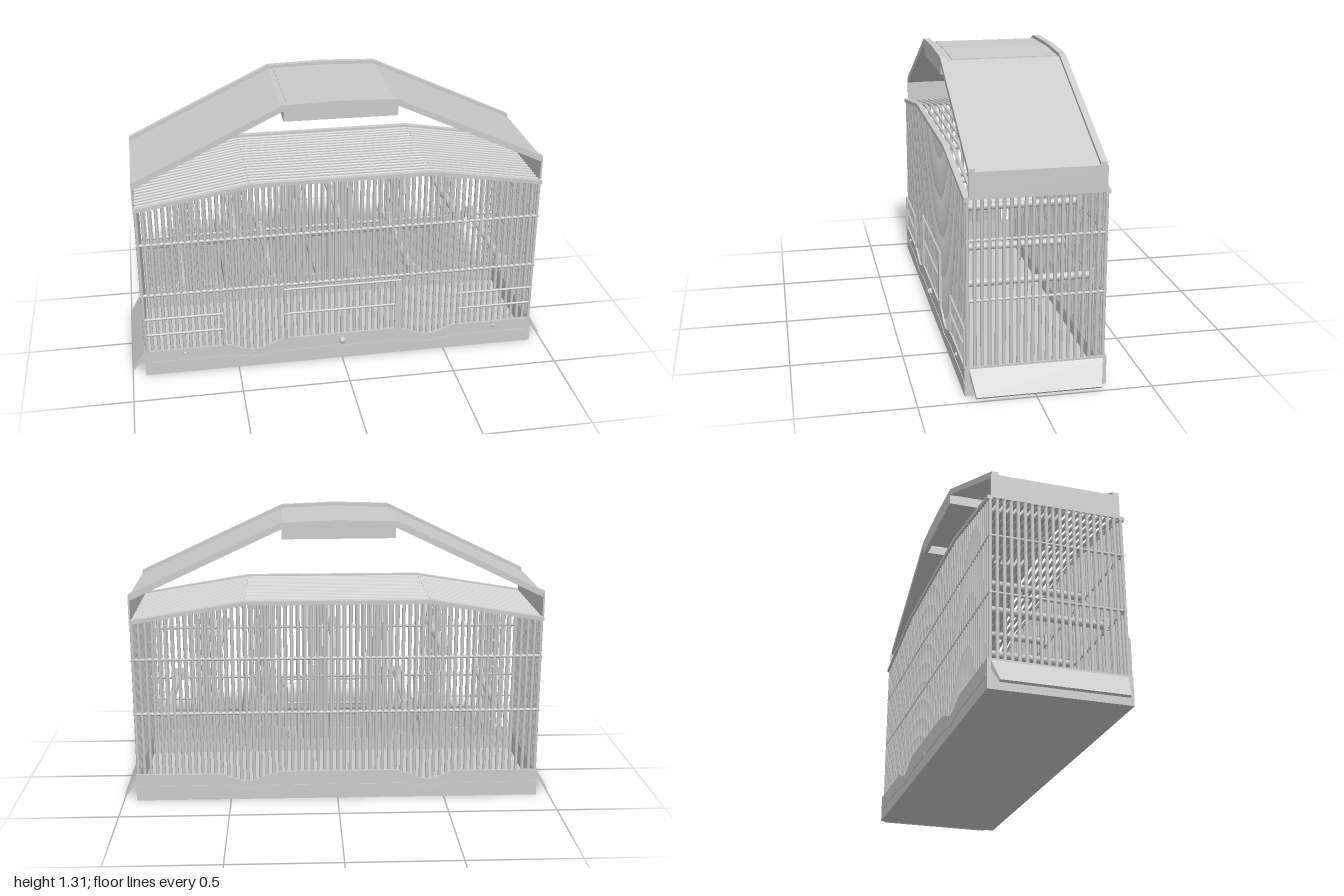
import * as THREE from 'three';
import { mergeGeometries } from 'three/addons/utils/BufferGeometryUtils.js';

const mat = new THREE.MeshStandardMaterial({ color: 0xcccccc, side: THREE.DoubleSide });
const V = (x, y, z) => new THREE.Vector3(x, y, z);

// Box between two corners
function box(x0, x1, y0, y1, z0, z1) {
  return new THREE.BoxGeometry(x1 - x0, y1 - y0, z1 - z0)
    .translate((x0 + x1) / 2, (y0 + y1) / 2, (z0 + z1) / 2);
}

// Round rod between two points
function rod(a, b, r, sides = 8) {
  const d = b.clone().sub(a);
  const g = new THREE.CylinderGeometry(r, r, d.length(), sides);
  g.applyQuaternion(new THREE.Quaternion().setFromUnitVectors(V(0, 1, 0), d.normalize()));
  return g.translate((a.x + b.x) / 2, (a.y + b.y) / 2, (a.z + b.z) / 2);
}

// Closed xy outline extruded from z0 to z1
function plate(pts, z0, z1) {
  const shape = new THREE.Shape(pts.map(([x, y]) => new THREE.Vector2(x, y)));
  return new THREE.ExtrudeGeometry(shape, { depth: z1 - z0, bevelEnabled: false }).translate(0, 0, z0);
}

// Strip of height t hanging below a polyline
function band(pts, t, z0, z1) {
  const lower = pts.map(([x, y]) => [x, y - t]).reverse();
  return plate([...lower, ...pts], z0, z1);
}

export function createModel() {
  const group = new THREE.Group();
  const add = (name, geos) => {
    const list = geos.map(g => (g.index ? g.toNonIndexed() : g));
    const mesh = new THREE.Mesh(mergeGeometries(list), mat);
    mesh.name = name;
    group.add(mesh);
  };

  const X = 0.94, ZF = 0.295, ZB = -0.315;
  const roof = [[-X, 0.865], [-0.42, 0.95], [0.42, 0.95], [X, 0.865]];
  const roofY = x => 0.95 - 0.085 * Math.max(0, (Math.abs(x) - 0.42) / 0.52);

  // Tray: floor, end walls, wavy long walls
  const half = [[0.27, 0.135], [0.34, 0.115], [0.38, 0.095], [0.42, 0.088],
    [0.46, 0.095], [0.54, 0.127], [X, 0.127]];
  const wave = [...half.map(([x, y]) => [-x, y]).reverse(), ...half];
  const wall = [[-X, 0], [X, 0], ...wave.slice().reverse()];
  add('trayFloor', [box(-X, X, 0, 0.012, ZB, ZF)]);
  add('trayLongWalls', [plate(wall, ZF - 0.014, ZF), plate(wall, ZB, ZB + 0.014)]);
  add('trayEndWalls', [-1, 1].map(s => box(s * X - (s > 0 ? 0.014 : 0), s * X + (s > 0 ? 0 : 0.014),
    0, 0.13, ZB, ZF)));

  // Raised trim strips on the tray
  const trims = [];
  for (const s of [-1, 1]) {
    const line = [[0.018, 0.07], [0.3, 0.07], [0.42, 0.051], [0.54, 0.07], [0.93, 0.07]]
      .map(([x, y]) => [s * x, y]);
    if (s < 0) line.reverse();
    trims.push(band(line, 0.017, ZF, ZF + 0.003), band(line, 0.017, ZB - 0.003, ZB));
  }
  add('trayTrim', trims);

  // Tilted flaps at both ends, narrowing downward
  for (const s of [-1, 1]) {
    const g = plate([[0.938, 0.125], [0.938, 0.088], [0.993, 0.01], [1, 0.018]], -0.3, 0.275);
    const p = g.attributes.position;
    for (let i = 0; i < p.count; i++) {
      const k = (p.getX(i) - 0.938) / 0.062;
      p.setZ(i, p.getZ(i) - Math.sign(p.getZ(i)) * 0.02 * k);
    }
    g.rotateY(s > 0 ? 0 : Math.PI);
    if (s < 0) g.translate(0, 0, -0.025);
    g.computeVertexNormals();
    add(s > 0 ? 'leftFlap' : 'rightFlap', [g]);
  }

  // Upright bars on the long sides
  const zF = 0.28, zB = -0.3, r = 0.008, longBars = [], endBars = [], roofBars = [];
  const n = 63;
  for (let i = 0; i < n; i++) {
    const x = -0.93 + 1.86 * i / (n - 1);
    for (const z of [zF, zB]) longBars.push(rod(V(x, 0.085, z), V(x, roofY(x) - 0.01, z), r));
  }
  add('longSideBars', longBars);

  // End bars continuing over the roof as hoops
  const m = 19;
  for (let i = 1; i < m; i++) {
    const z = zB + (zF - zB) * i / m;
    for (const s of [-1, 1]) endBars.push(rod(V(s * 0.93, 0.12, z), V(s * 0.93, 0.858, z), r));
    for (let k = 0; k < 3; k++) {
      const [a, b] = [roof[k], roof[k + 1]];
      roofBars.push(rod(V(a[0], a[1] - 0.01, z), V(b[0], b[1] - 0.01, z), r));
    }
  }
  add('endBars', endBars);
  add('roofBars', roofBars);

  // Roof edge rails and horizontal wires
  add('roofRails', [band(roof, 0.018, ZF - 0.025, ZF), band(roof, 0.018, ZB, ZB + 0.025)]);
  const wires = [];
  for (const y of [0.42, 0.68]) {
    for (const z of [zF, zB]) wires.push(rod(V(-X, y, z), V(X, y, z), 0.008));
    for (const x of [-0.93, 0.93]) wires.push(rod(V(x, y, zB), V(x, y, zF), 0.007));
  }
  add('horizontalWires', wires);

  // Perches with end blocks
  const perches = [], blocks = [];
  for (const [x, y] of [[-0.49, 0.7], [0.01, 0.7], [0.55, 0.7],
    [-0.74, 0.44], [-0.32, 0.44], [0.34, 0.44], [0.78, 0.44]]) {
    perches.push(rod(V(x, y, zB), V(x, y, zF), 0.017, 12));
    for (const z of [zF - 0.008, zB + 0.008])
      blocks.push(box(x - 0.026, x + 0.026, y - 0.03, y + 0.03, z - 0.008, z + 0.008));
  }
  add('perches', perches);
  add('perchBlocks', blocks);

  // Front door and two small feeder doors
  const doors = [];
  const doorWire = (x0, x1, y) => doors.push(rod(V(x0, y, 0.293), V(x1, y, 0.293), 0.006));
  for (const y of [0.4, 0.27]) doorWire(-0.28, 0.28, y);
  doors.push(box(0.255, 0.285, 0.13, 0.4, 0.287, 0.299));
  doors.push(rod(V(-0.27, 0.13, 0.293), V(-0.27, 0.4, 0.293), 0.007));
  for (const s of [-1, 1]) {
    for (const y of [0.3, 0.217]) doorWire(s * 0.565, s * 0.925, y);
    for (const x of [0.565, 0.925])
      doors.push(rod(V(s * x, 0.12, 0.293), V(s * x, 0.3, 0.293), 0.006));
  }
  add('doors', doors);

  // Knobs on the front of the tray
  const knobs = [new THREE.SphereGeometry(0.017, 16, 12).translate(0, 0.1, 0.299)];
  for (const s of [-1, 1])
    knobs.push(new THREE.SphereGeometry(0.009, 12, 8).translate(s * 0.75, 0.105, 0.298));
  add('knobs', knobs);

  // Peaked cover: sheet, raised edge flanges, end skirts
  const cover = [[-X, 0.982], [-0.265, 1.306], [0, 1.313], [0.25, 1.303], [X, 0.982]];
  const sheet = cover.map(([x, y]) => [x, y - 0.016]);
  add('coverSheet', [band(sheet, 0.012, -0.295, 0.275)]);
  add('coverFlanges', [band(cover, 0.03, 0.247, 0.275), band(cover, 0.03, -0.295, -0.267)]);
  add('coverSkirts', [-1, 1].map(s => box(s * 0.937 - 0.004, s * 0.937 + 0.004, 0.855, 0.968, -0.3, 0.275)));

  // Hanging frame below the flat middle, and the panel on top
  const mid = [[-0.26, 1.29], [0.25, 1.288]];
  add('coverFrame', [
    band(mid, 0.06, 0.255, 0.274), band(mid, 0.06, -0.294, -0.275),
    box(-0.26, -0.245, 1.23, 1.28, -0.29, 0.27), box(0.235, 0.25, 1.23, 1.28, -0.29, 0.27),
  ]);
  add('coverPanel', [band([[-0.24, 1.294], [0, 1.3], [0.23, 1.291]], 0.006, -0.26, 0.22)]);

  return group;
}
